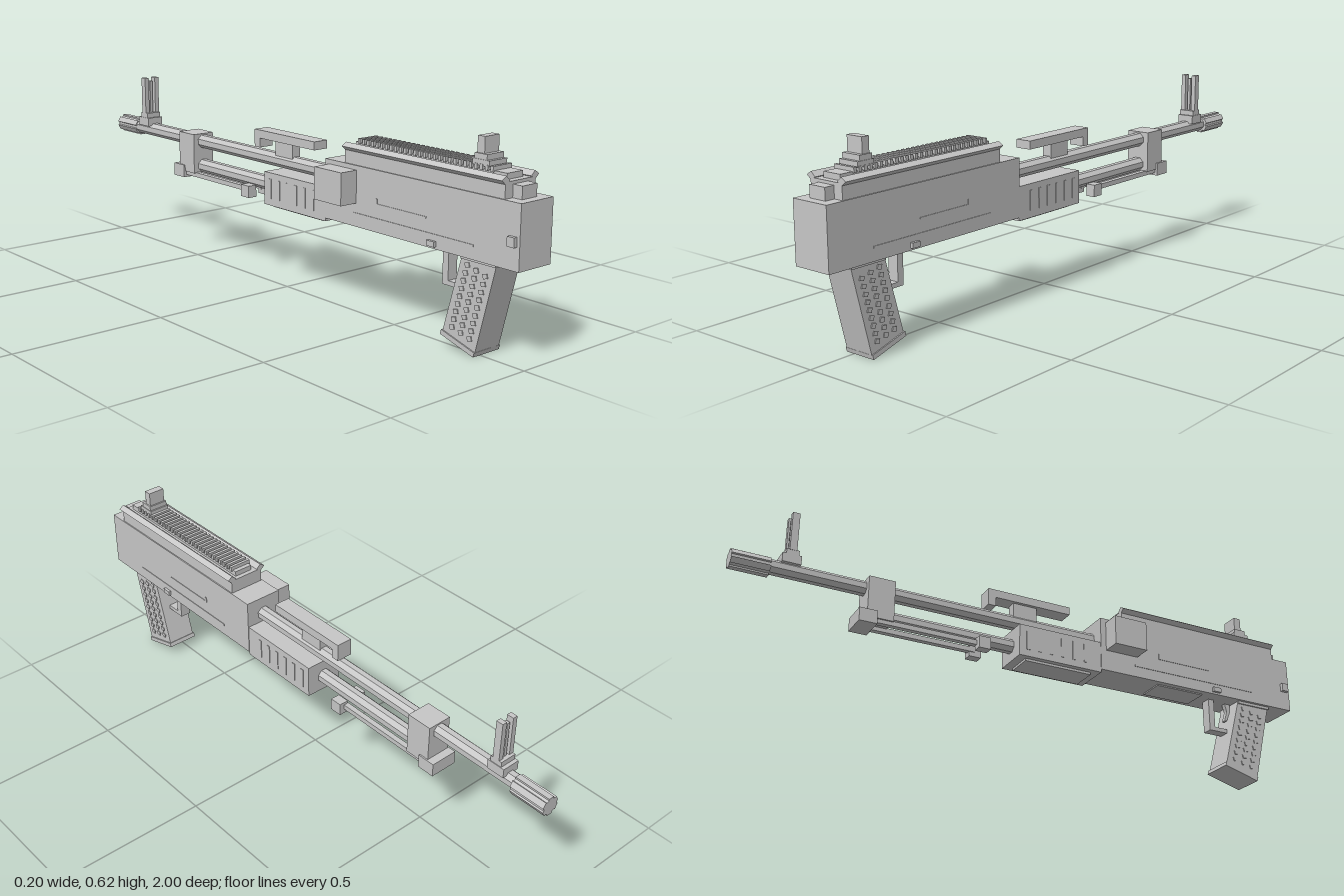
import * as THREE from 'three';

const CX = 0.025; // centre plane of the body

export function createModel() {
  const model = new THREE.Group();
  model.name = 'model';
  const grey = new THREE.MeshStandardMaterial({ color: 0xc6c6c6 });
  grey.name = 'metalGrey';
  grey.flatShading = true;

  const add = (name, geo, parent = model) => {
    const m = new THREE.Mesh(geo, grey);
    m.name = name;
    parent.add(m);
    return m;
  };
  // box given by its limits on each axis
  const box = (name, x0, x1, y0, y1, z0, z1, parent) => {
    const g = new THREE.BoxGeometry(x1 - x0, y1 - y0, z1 - z0);
    g.translate((x0 + x1) / 2, (y0 + y1) / 2, (z0 + z1) / 2);
    return add(name, g, parent);
  };
  // box of half width w around the centre plane
  const mid = (name, w, y0, y1, z0, z1, parent) => box(name, CX - w, CX + w, y0, y1, z0, z1, parent);
  // tube lying along z
  const rod = (name, r, y, z0, z1, sides = 8, parent) => {
    const g = new THREE.CylinderGeometry(r, r, z1 - z0, sides);
    g.rotateY(Math.PI / sides);
    g.rotateX(Math.PI / 2);
    g.translate(CX, y, (z0 + z1) / 2);
    return add(name, g, parent);
  };
  // side outline of [z, y] points, extruded across x
  const side = (name, pts, w, parent) => {
    const s = new THREE.Shape(pts.map(p => new THREE.Vector2(p[0], p[1])));
    const g = new THREE.ExtrudeGeometry(s, { depth: 2 * w, bevelEnabled: false });
    g.translate(0, 0, -w);
    g.rotateY(-Math.PI / 2);
    g.translate(CX, 0, 0);
    return add(name, g, parent);
  };
  const group = name => {
    const g = new THREE.Group();
    g.name = name;
    model.add(g);
    return g;
  };

  // receiver
  mid('receiver', 0.065, 0.283, 0.47, 0.23, 1.0);
  mid('topCover', 0.061, 0.47, 0.516, 0.315, 0.94);
  mid('rearLatch', 0.03, 0.47, 0.507, 0.93, 0.972);
  mid('bellyPlate', 0.045, 0.279, 0.284, 0.46, 0.64);
  mid('gripMount', 0.055, 0.274, 0.284, 0.785, 0.912);
  box('sideBox', -0.102, -0.04, 0.355, 0.456, 0.25, 0.37);
  box('rearPin', -0.052, -0.039, 0.35, 0.378, 0.965, 0.99);
  mid('selector', 0.074, 0.29, 0.306, 0.67, 0.7);

  // raised lines on both flanks
  const trim = group('sideTrim');
  for (const s of [-1, 1]) {
    const x = CX + s * 0.065;
    box('lowerLine', x - 0.002, x + 0.002, 0.32, 0.326, 0.36, 0.84, trim);
    box('upperLine', x - 0.002, x + 0.002, 0.365, 0.37, 0.46, 0.66, trim);
    box('lineEnd', x - 0.002, x + 0.002, 0.365, 0.385, 0.455, 0.462, trim);
  }

  // flared flanges along the cover
  const flange = [[0.043, 0.519], [0.058, 0.507], [0.075, 0.522], [0.058, 0.533]];
  for (const s of [-1, 1]) {
    const shape = new THREE.Shape(flange.map(p => new THREE.Vector2(s * p[0], p[1])));
    const g = new THREE.ExtrudeGeometry(shape, { depth: 0.625, bevelEnabled: false });
    g.translate(CX, 0, 0.315);
    add(s > 0 ? 'leftFlange' : 'rightFlange', g);
  }

  // ribbed rail
  const rail = group('ribbedRail');
  mid('railBed', 0.032, 0.51, 0.533, 0.33, 0.92, rail);
  for (let i = 0; i < 28; i++) {
    const z = 0.345 + i * 0.0193;
    mid('rib', 0.038, 0.529, 0.545, z, z + 0.01, rail);
  }

  // rear sight
  const rear = group('rearSight');
  mid('sightFoot', 0.036, 0.54, 0.557, 0.80, 0.86, rear);
  mid('sightStep', 0.034, 0.557, 0.573, 0.805, 0.85, rear);
  mid('sightBlade', 0.029, 0.573, 0.62, 0.81, 0.836, rear);

  // barrel with pronged muzzle
  rod('barrel', 0.024, 0.411, -0.9, 0.24);
  const muzzle = group('muzzle');
  rod('muzzleCore', 0.027, 0.41, -1.0, -0.88, 12, muzzle);
  for (let i = 0; i < 6; i++) {
    const g = new THREE.BoxGeometry(0.019, 0.01, 0.12);
    g.translate(0, 0.025, 0);
    g.rotateZ((i * Math.PI) / 3);
    g.translate(0, 0.41, -0.94);
    add('muzzleProng', g, muzzle).position.x = CX;
  }
  muzzle.position.x = 0.004;

  // front sight: two outer ears and a slim centre post
  const front = group('frontSight');
  mid('sightBase', 0.03, 0.425, 0.455, -0.85, -0.79, front);
  mid('sightBlock', 0.028, 0.455, 0.472, -0.838, -0.798, front);
  for (const s of [-1, 1]) {
    const x = CX + s * 0.021;
    box('sightEar', x - 0.008, x + 0.008, 0.47, 0.6, -0.829, -0.806, front);
  }
  mid('sightPost', 0.005, 0.47, 0.588, -0.825, -0.81, front);

  // carrying handle
  const handle = group('carryHandle');
  side('handleBar', [[0.134, 0.475], [0.134, 0.502], [-0.165, 0.502], [-0.165, 0.444],
    [-0.138, 0.444], [-0.138, 0.475]], 0.027, handle);
  mid('handleStem', 0.016, 0.425, 0.477, -0.07, 0.016, handle);

  // handguard with ribbed sides
  const guard = group('handguard');
  mid('handguardBody', 0.063, 0.272, 0.38, -0.07, 0.23, guard);
  mid('handguardFloor', 0.045, 0.264, 0.273, -0.04, 0.2, guard);
  for (let i = 0; i < 6; i++) {
    const z = -0.045 + i * 0.042;
    mid('handguardRib', 0.065, 0.295, 0.36, z, z + 0.012, guard);
  }

  // gas tube, front block and folded legs
  rod('gasTube', 0.024, 0.324, -0.5, -0.06);
  const block = group('frontBlock');
  mid('blockBody', 0.041, 0.3, 0.438, -0.577, -0.49, block);
  mid('blockFoot', 0.046, 0.278, 0.322, -0.604, -0.545, block);
  for (const s of [-1, 1]) {
    const x = CX + s * 0.027, e = CX + s * 0.037;
    box('foldedLeg', x - 0.009, x + 0.009, 0.287, 0.303, -0.55, -0.19, block);
    box('legFoot', e - 0.016, e + 0.016, 0.272, 0.312, -0.207, -0.166, block);
  }

  // trigger and guard
  side('triggerGuard', [[0.706, 0.285], [0.684, 0.285], [0.684, 0.17], [0.755, 0.17],
    [0.755, 0.184], [0.706, 0.184]], 0.018);
  side('trigger', [[0.78, 0.285], [0.758, 0.285], [0.766, 0.255], [0.755, 0.22],
    [0.764, 0.22], [0.778, 0.255]], 0.008);

  // raked grip with studded sides
  const grip = group('grip');
  side('gripBody', [[0.912, 0.285], [0.842, 0.004], [0.718, 0.038], [0.786, 0.285]], 0.05, grip);
  side('gripBase', [[0.845, 0.014], [0.841, 0], [0.714, 0.036], [0.718, 0.05]], 0.054, grip);
  for (const s of [-1, 1]) for (let r = 0; r < 9; r++) for (let c = 0; c < 3; c++) {
    const v = r * 0.024, u = (c - 1) * 0.033;
    const g = new THREE.BoxGeometry(0.006, 0.014, 0.016);
    g.rotateX(-0.25);
    g.translate(CX + s * 0.05, 0.25 - v - u * 0.27, 0.84 - v * 0.26 + u);
    add('gripStud', g, grip);
  }

  return model;
}
